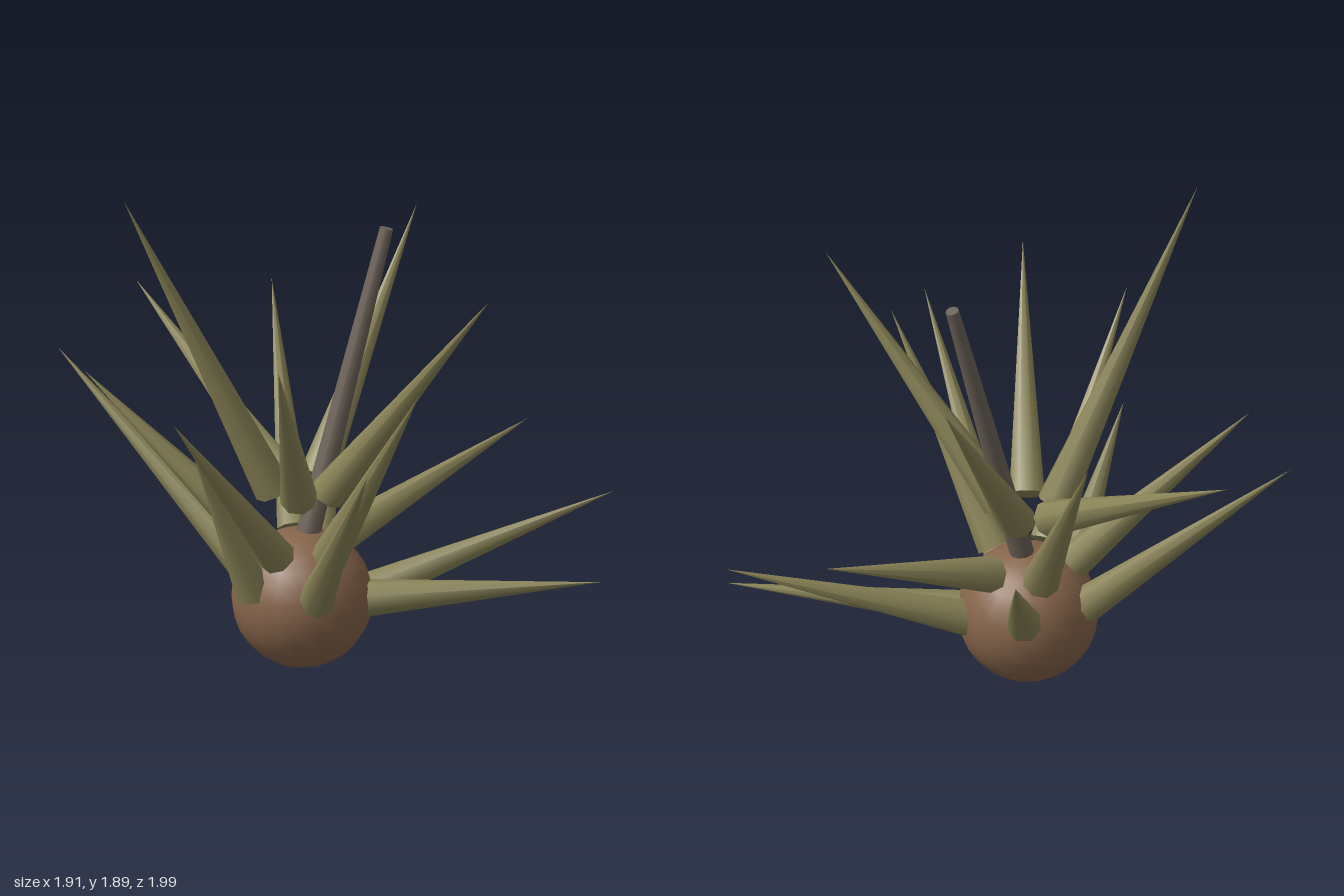
import * as THREE from 'three';

export function createModel() {
  const model = new THREE.Group();
  model.name = 'spikyPlant';

  const bulbBrown = new THREE.MeshStandardMaterial({ name: 'bulbBrown', color: 0x86644a });
  const leafOlive = new THREE.MeshStandardMaterial({ name: 'leafOlive', color: 0x8a8457 });
  const stemGrey = new THREE.MeshStandardMaterial({ name: 'stemGrey', color: 0x6c6258 });

  const cx = -0.2, cz = -0.02;
  const up = new THREE.Vector3(0, 1, 0);

  // Tapered round part running from one point to another
  function taper(name, from, to, r0, r1, sides, material) {
    const a = new THREE.Vector3(...from), b = new THREE.Vector3(...to);
    const dir = b.clone().sub(a);
    const mesh = new THREE.Mesh(new THREE.CylinderGeometry(r1, r0, dir.length(), sides), material);
    mesh.position.copy(a).add(b).multiplyScalar(0.5);
    mesh.quaternion.setFromUnitVectors(up, dir.normalize());
    mesh.name = name;
    model.add(mesh);
  }

  // Round bulb at the foot
  const bulb = new THREE.Mesh(new THREE.SphereGeometry(0.262, 20, 14), bulbBrown);
  bulb.position.set(cx, 0.262, cz);
  bulb.name = 'bulb';
  model.add(bulb);

  // Leaning stem in the middle
  taper('stem', [cx, 0.42, cz], [0.145, 1.64, -0.135], 0.047, 0.025, 10, stemGrey);

  // Three tiers of pointed leaves: ring radius, base height and leaf tips
  const tiers = [
    { name: 'upperLeaf', ring: 0.11, y: 0.69, tips: [
      [-0.88, 1.89, 0], [-0.45, 1.42, 0.66], [0.375, 1.59, 0.55], [0.385, 1.515, -0.67], [-0.6, 1.18, -1]] },
    { name: 'middleLeaf', ring: 0.165, y: 0.47, tips: [
      [0.72, 0.77, -0.32], [0.09, 1.26, 0.615], [-0.82, 1.205, 0.555], [-0.14, 1.23, -0.77], [-0.95, 1.1, -0.34]] },
    { name: 'lowerLeaf', ring: 0.22, y: 0.325, tips: [
      [-0.19, 1.11, 0.99], [0.09, 0.715, -0.63], [-0.96, 1.05, -0.72], [-0.66, 0.94, 0.185]] },
    { name: 'droopingLeaf', ring: 0.235, y: 0.27, tips: [
      [0.83, 0.38, 0.385], [0.955, 0.615, 0.08]] },
  ];
  for (const { name, ring, y, tips } of tiers) {
    for (const tip of tips) {
      const a = Math.atan2(tip[2] - cz, tip[0] - cx);
      const base = [cx + ring * Math.cos(a), y, cz + ring * Math.sin(a)];
      taper(name, base, tip, 0.07, 0, 8, leafOlive);
    }
  }
  return model;
}
